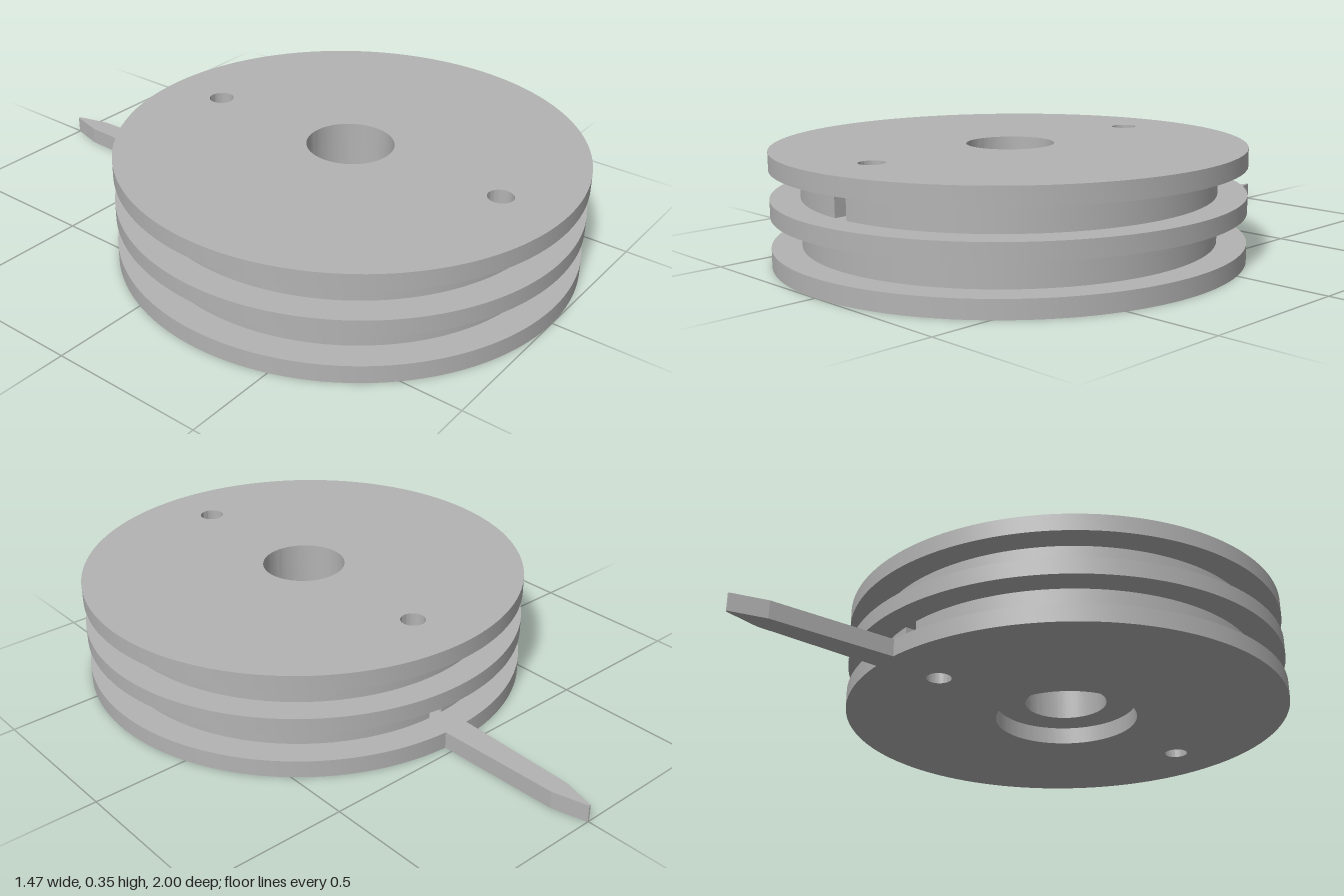
import * as THREE from 'three';
import { toCreasedNormals } from 'three/addons/utils/BufferGeometryUtils.js';

const CENTRE_Z = 0.263;
const FLANGE_R = 0.737, DRUM_R = 0.645, BORE_R = 0.137, RECESS_R = 0.237;
const PIN_R = 0.04, PIN_OFFSET = 0.533, SLOT_HALF = 0.027;

// circular hole centred on the long axis
function circle(y, r) {
  return new THREE.Path().absarc(0, y, r, 0, Math.PI * 2, false);
}

// upright slab from a plan outline (plan +y becomes the back, -z)
function slab(name, shape, y0, y1, material) {
  const extruded = new THREE.ExtrudeGeometry(shape, {
    depth: y1 - y0, bevelEnabled: false, curveSegments: 96,
  });
  extruded.rotateX(-Math.PI / 2);
  const mesh = new THREE.Mesh(toCreasedNormals(extruded, 0.6), material);
  mesh.name = name;
  mesh.position.y = y0;
  return mesh;
}

// rim disc with a central hole and two pin holes
function flangeShape(boreRadius) {
  const s = new THREE.Shape().absarc(0, 0, FLANGE_R, 0, Math.PI * 2, false);
  s.holes.push(circle(0, boreRadius), circle(PIN_OFFSET, PIN_R), circle(-PIN_OFFSET, PIN_R));
  return s;
}

// drum whose back pin hole opens to the rim through a narrow slot
function drumShape() {
  const a = Math.asin(SLOT_HALF / DRUM_R);
  const b = Math.acos(SLOT_HALF / PIN_R);
  const s = new THREE.Shape();
  s.absarc(0, 0, DRUM_R, Math.PI / 2 + a, Math.PI * 2.5 - a, false);
  s.absarc(0, PIN_OFFSET, PIN_R, b, Math.PI - b, true);
  s.closePath();
  s.holes.push(circle(0, BORE_R), circle(-PIN_OFFSET, PIN_R));
  return s;
}

export function createModel() {
  const model = new THREE.Group();
  model.name = 'doubleGroovePulley';
  const grey = new THREE.MeshStandardMaterial({ color: 0xb3b3b3 });
  grey.name = 'grey';

  const wheel = new THREE.Group();
  wheel.name = 'wheel';
  wheel.position.z = CENTRE_Z;
  model.add(wheel);

  // three flanges, the lowest with a wider recess
  wheel.add(slab('lowerFlange', flangeShape(RECESS_R), 0, 0.057, grey));
  wheel.add(slab('middleFlange', flangeShape(BORE_R), 0.153, 0.207, grey));
  wheel.add(slab('upperFlange', flangeShape(BORE_R), 0.297, 0.353, grey));

  // two drums with slots on opposite sides
  wheel.add(slab('lowerDrum', drumShape(), 0.057, 0.153, grey));
  const upperDrum = slab('upperDrum', drumShape(), 0.207, 0.297, grey);
  upperDrum.rotation.y = Math.PI;
  wheel.add(upperDrum);

  // tapered pointer at the back
  const outline = [[-0.045, 0.735], [0.045, 0.735], [0.033, 1.15], [0.003, 1.263], [-0.003, 1.263], [-0.033, 1.15]];
  const pointer = new THREE.Shape(outline.map(([x, y]) => new THREE.Vector2(x, y)));
  const pointerMesh = slab('pointer', pointer, 0, 0.057, grey);
  pointerMesh.geometry = toCreasedNormals(pointerMesh.geometry, 0.1);
  wheel.add(pointerMesh);

  return model;
}
